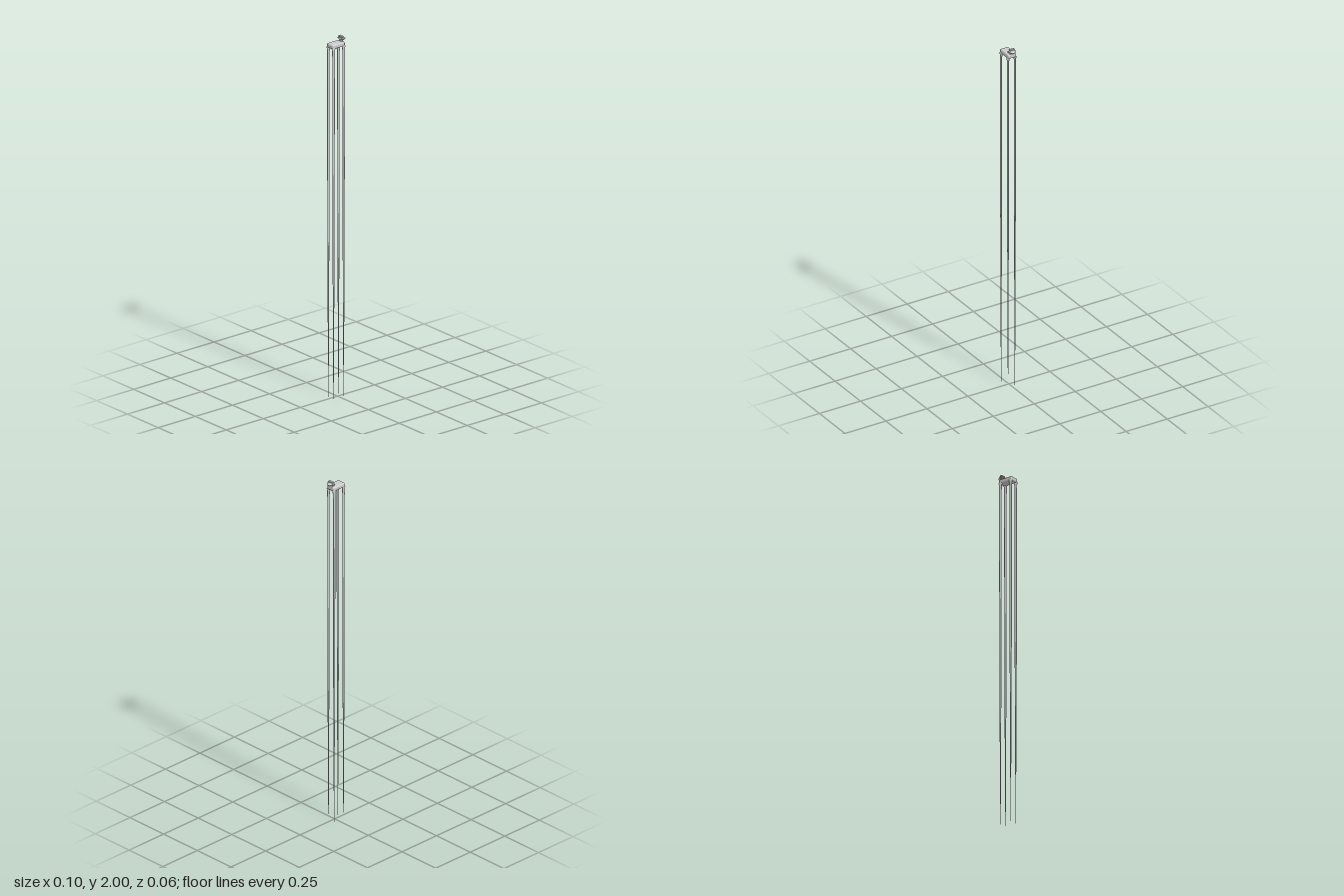
import * as THREE from 'three';
import { RoundedBoxGeometry } from 'three/addons/geometries/RoundedBoxGeometry.js';

export function createModel() {
  const model = new THREE.Group();
  const material = new THREE.MeshStandardMaterial({ color: 0xcccccc });
  const add = (name, geometry, x, y, z) => {
    const mesh = new THREE.Mesh(geometry, material);
    mesh.name = name;
    mesh.position.set(x, y, z);
    model.add(mesh);
    return mesh;
  };

  // Slim boxy torso
  add('body', new RoundedBoxGeometry(0.085, 0.024, 0.05, 3, 0.007), -0.0095, 1.959, -0.001);

  // Stilt legs: flared hips, long even shank, needle-thin feet
  const profile = [[0, 0], [0.0012, 0], [0.0025, 0.2], [0.0042, 0.5], [0.006, 0.9],
    [0.0072, 1.4], [0.0076, 1.9], [0.0085, 1.935], [0.011, 1.95], [0, 1.958]];
  const legShape = new THREE.LatheGeometry(profile.map(([r, y]) => new THREE.Vector2(r, y)), 12);
  legShape.scale(1, 1, 0.6);
  for (const [end, x] of [['front', 0.0245], ['hind', -0.0435]]) {
    for (const [side, z] of [['Right', 0.0205], ['Left', -0.0215]]) {
      add(`${end}${side}Leg`, legShape, x, 0, z);
    }
  }

  // Short neck rising from the front of the body
  const neck = new THREE.CylinderGeometry(0.008, 0.011, 0.028, 10);
  neck.scale(0.75, 1, 1.2);
  add('neck', neck, 0.0255, 1.977, -0.001);

  // Broad crest across the top of the head
  add('crest', new RoundedBoxGeometry(0.015, 0.008, 0.044, 3, 0.0035), 0.0255, 1.986, -0.001);
  add('crown', new RoundedBoxGeometry(0.014, 0.008, 0.03, 3, 0.003), 0.026, 1.996, -0.001);

  // Blunt, flattened muzzle pointing forward
  const muzzle = new THREE.SphereGeometry(1, 12, 8);
  muzzle.scale(0.019, 0.0075, 0.0165);
  add('muzzle', muzzle, 0.031, 1.984, -0.001);

  return model;
}
